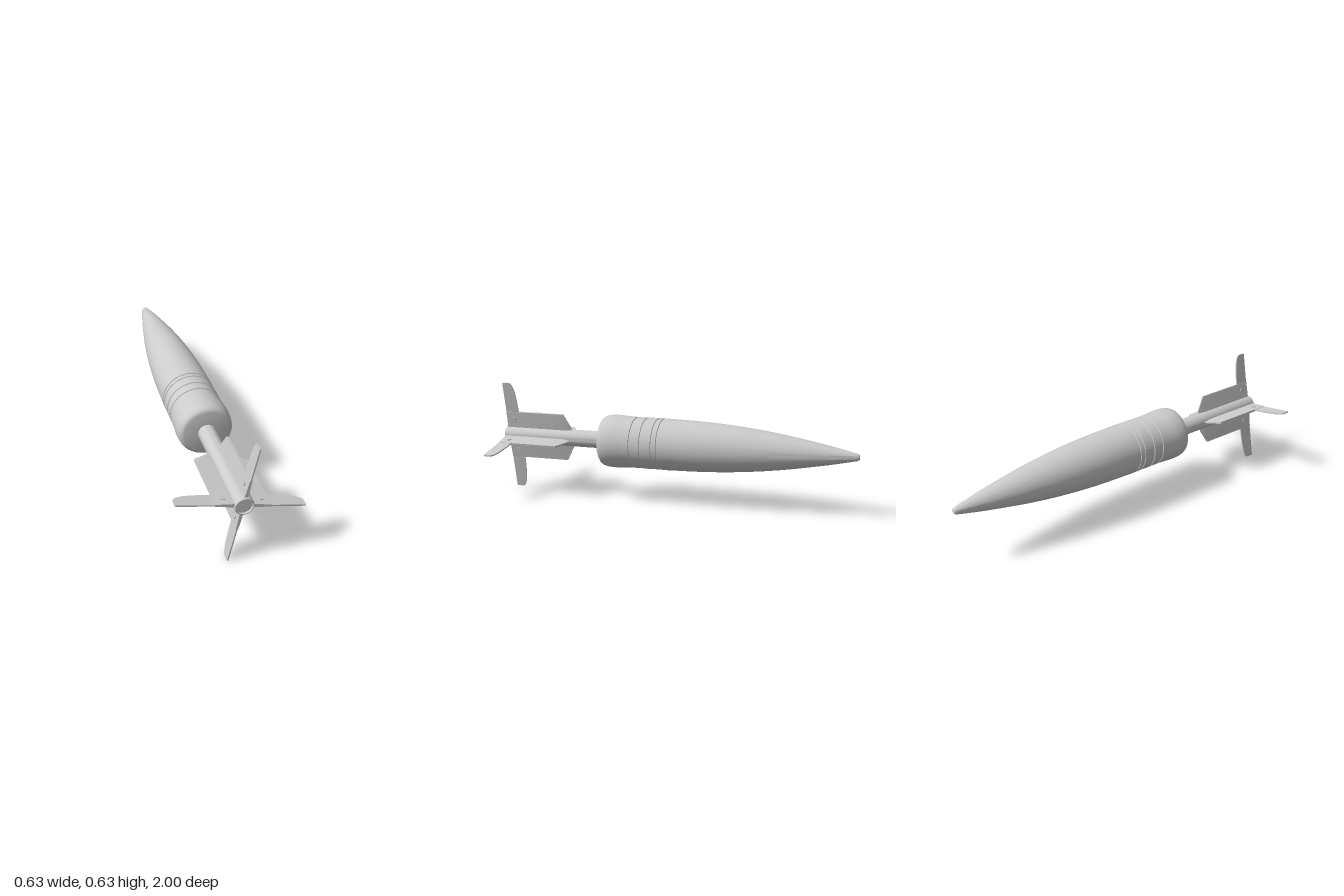
import * as THREE from 'three';
import { toCreasedNormals } from 'three/addons/utils/BufferGeometryUtils.js';

const material = new THREE.MeshStandardMaterial({ color: 0xcccccc });

function mesh(name, geometry) {
  const m = new THREE.Mesh(geometry, material);
  m.name = name;
  return m;
}

// Turned part along z; points are [z, radius] running from the nose to the tail
function turned(name, points, segments) {
  const profile = points.map(([z, r]) => new THREE.Vector2(r, z));
  const geometry = new THREE.LatheGeometry(profile, segments);
  geometry.rotateX(Math.PI / 2);
  return mesh(name, toCreasedNormals(geometry, 0.45));
}

// Thick fin root: sloped, wedge-shaped leading end and thinner outer edge
function finPlate() {
  const geometry = new THREE.BoxGeometry(1, 1, 1, 1, 1, 2);
  const p = geometry.attributes.position;
  for (let i = 0; i < p.count; i++) {
    const outer = p.getY(i) > 0;
    const station = Math.round((p.getZ(i) + 0.5) * 2); // 0 = leading end
    const radius = outer ? [0.06, 0.139, 0.139][station] : 0.03;
    const thickness = station === 0 ? 0.003 : outer ? 0.011 : 0.02;
    p.setXYZ(i, p.getX(i) * thickness, radius, [0.595, 0.64, 0.99][station]);
  }
  return mesh('finPlate', toCreasedNormals(geometry, 0.2));
}

// Thin blade with a rounded leading tip, reaching out to the given radius
function finBlade(tip) {
  const shape = new THREE.Shape();
  shape.moveTo(0.99, 0.12);
  shape.lineTo(0.99, tip - 0.006);
  shape.quadraticCurveTo(0.99, tip, 0.984, tip);
  shape.lineTo(0.95, tip);
  shape.quadraticCurveTo(0.935, tip - 0.005, 0.925, tip - 0.045);
  shape.quadraticCurveTo(0.915, tip - 0.1, 0.914, 0.12);
  const geometry = new THREE.ExtrudeGeometry(shape, { depth: 0.007, bevelEnabled: false, curveSegments: 8 });
  geometry.translate(0, 0, -0.0035);
  geometry.rotateY(-Math.PI / 2); // shape x becomes z
  return mesh('finBlade', toCreasedNormals(geometry, 0.5));
}

function fin(tip) {
  const group = new THREE.Group();
  group.name = 'fin';
  group.add(finPlate(), finBlade(tip));
  // One pin through the plate, showing as a rivet on both faces
  const rivet = mesh('rivet', new THREE.CylinderGeometry(0.014, 0.014, 0.024, 16));
  rivet.rotation.z = Math.PI / 2;
  rivet.position.set(0, 0.095, 0.945);
  group.add(rivet);
  return group;
}

export function createModel() {
  const model = new THREE.Group();
  model.name = 'finnedShell';
  const shell = new THREE.Group();
  shell.name = 'shell';
  shell.position.set(0.009, 0.323, 0);
  model.add(shell);

  // Smooth pointed nose
  const noseCurve = new THREE.SplineCurve([
    [-0.985, 0.02], [-0.9, 0.039], [-0.8, 0.059], [-0.6, 0.094],
    [-0.4, 0.119], [-0.2, 0.134], [0, 0.14], [0.04, 0.141],
  ].map(([z, r]) => new THREE.Vector2(z, r)));
  const nose = noseCurve.getPoints(40).map((v) => [v.x, v.y]);
  shell.add(turned('nose', [[-1, 0], [-1, 0.011], [-0.996, 0.016], ...nose], 64));

  // Rear body: shallow grooves, flared band and rounded shoulder
  const body = [[0.04, 0.141]];
  for (const z of [0.045, 0.075, 0.14, 0.2]) {
    body.push([z, 0.141], [z + 0.002, 0.136], [z + 0.008, 0.136], [z + 0.01, 0.14]);
  }
  body.push([0.27, 0.143], [0.31, 0.146], [0.335, 0.146], [0.36, 0.144], [0.38, 0.14],
    [0.391, 0.134], [0.397, 0.126], [0.4, 0.118], [0.403, 0.04]);
  shell.add(turned('body', body, 64));

  // Tail tube with a shallow recessed end
  shell.add(turned('tailTube', [
    [0.38, 0.047], [0.992, 0.048], [1, 0.045], [1, 0.041], [0.99, 0.04], [0.99, 0],
  ], 40));

  // Four fins, turned slightly off the vertical
  [0.312, 0.311, 0.33, 0.33].forEach((tip, i) => {
    const f = fin(tip);
    f.rotation.z = -THREE.MathUtils.degToRad(12 + 90 * i);
    shell.add(f);
  });

  return model;
}
